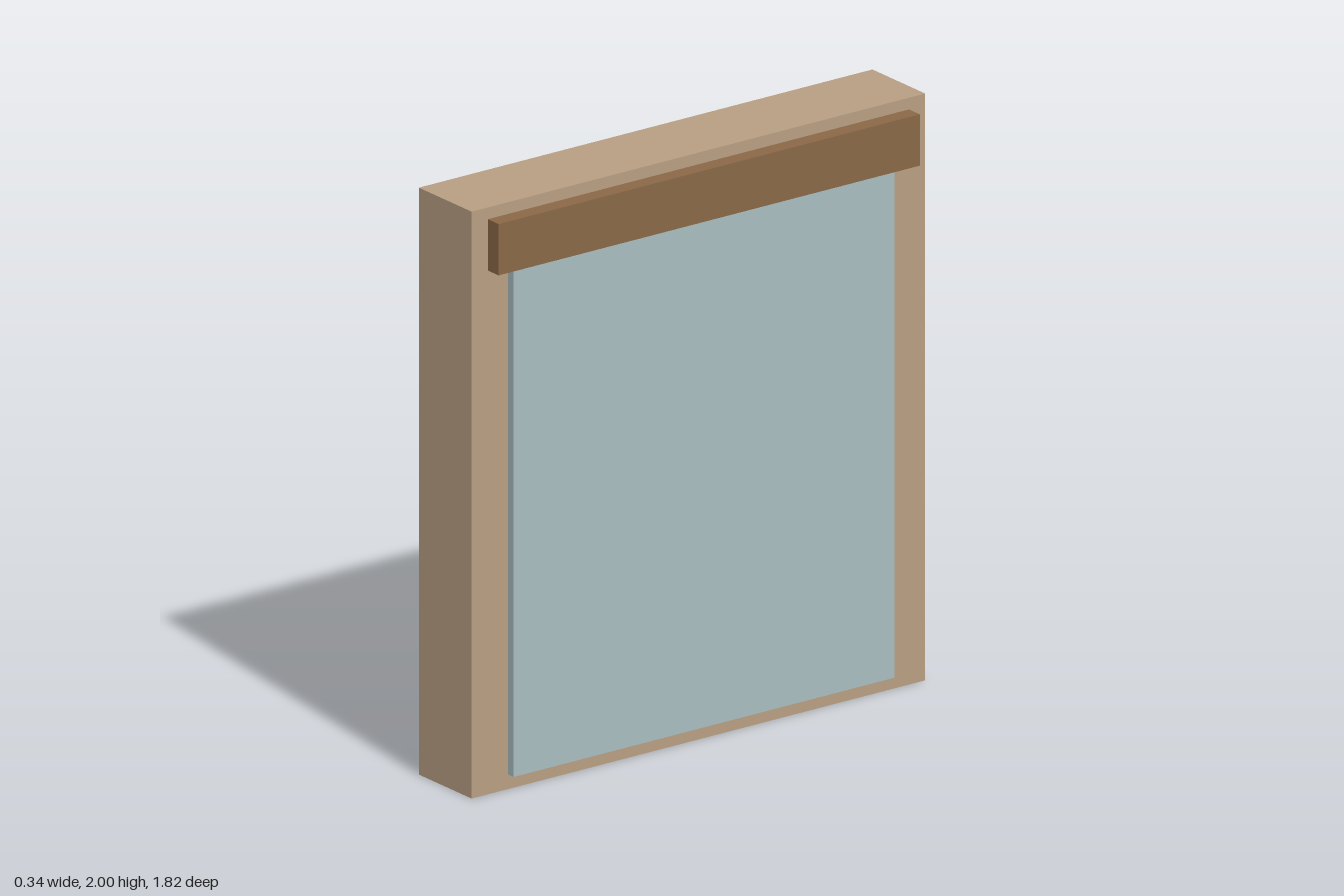
import * as THREE from 'three';

export function createModel() {
  const model = new THREE.Group();
  const paleWood = new THREE.MeshStandardMaterial({ color: 0xb89f83 });
  const darkWood = new THREE.MeshStandardMaterial({ color: 0x8a6847 });
  const paleBlue = new THREE.MeshStandardMaterial({ color: 0xa9bdbf });

  // Rectangle outline in the (z, y) plane, symmetric about z = 0
  const rectangle = (PathType, halfWidth, bottom, top) => new PathType([
    new THREE.Vector2(-halfWidth, bottom),
    new THREE.Vector2(halfWidth, bottom),
    new THREE.Vector2(halfWidth, top),
    new THREE.Vector2(-halfWidth, top),
  ]);

  // Deep wall frame with a rectangular opening, extruded along x
  const outline = rectangle(THREE.Shape, 0.91, 0, 2);
  outline.holes.push(rectangle(THREE.Path, 0.765, 0.2, 1.8));
  const frameGeometry = new THREE.ExtrudeGeometry(outline, { depth: 0.28, bevelEnabled: false });
  frameGeometry.rotateY(Math.PI / 2).translate(-0.17, 0, 0);
  const frame = new THREE.Mesh(frameGeometry, paleWood);
  frame.name = 'frame';
  model.add(frame);

  // Box given by its extents in x and y, centred on z
  function addBox(name, material, [x0, x1], [y0, y1], width) {
    const mesh = new THREE.Mesh(new THREE.BoxGeometry(x1 - x0, y1 - y0, width), material);
    mesh.position.set((x0 + x1) / 2, (y0 + y1) / 2, 0);
    mesh.name = name;
    model.add(mesh);
  }

  // Panel covering the opening, and the rail above it
  addBox('panel', paleBlue, [0.11, 0.14], [0.05, 1.8], 1.53);
  addBox('topRail', darkWood, [0.11, 0.167], [1.785, 1.96], 1.69);

  return model;
}
